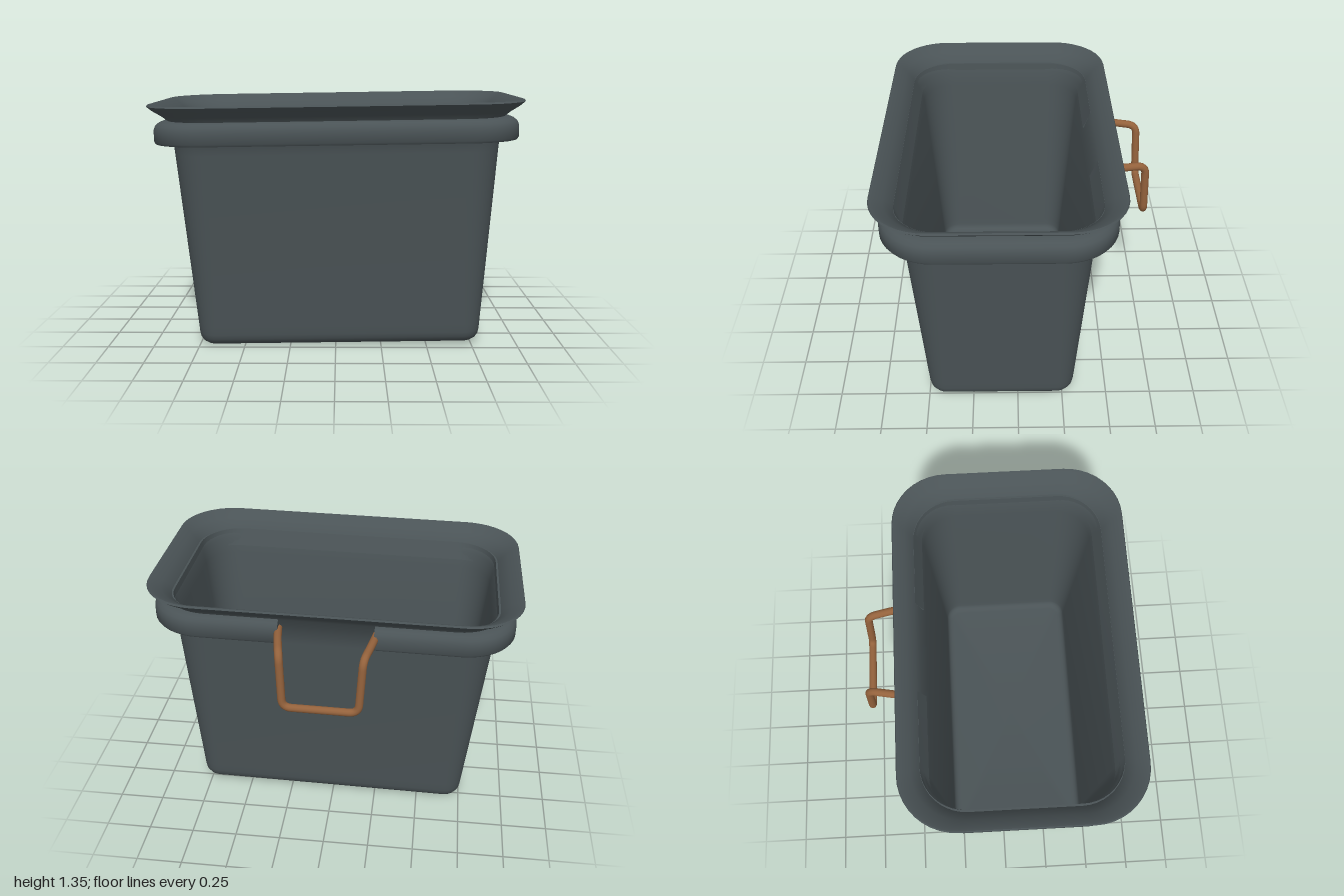
import * as THREE from 'three';
import { toCreasedNormals } from 'three/addons/utils/BufferGeometryUtils.js';

const CENTER_Z = 0.092;
const CORNER_STEPS = 10;
const GAP = [0.26, -0.24]; // x of the opening at the back of the collar

// Rounded rectangle outline, starting and ending at the back
function outline(hx, hz, r, open) {
  const pts = [];
  const signs = [[1, -1], [1, 1], [-1, 1], [-1, -1]];
  if (open) pts.push([GAP[0], -hz]);
  signs.forEach(([sx, sz], c) => {
    for (let i = 0; i <= CORNER_STEPS; i++) {
      const a = (c - 1 + i / CORNER_STEPS) * Math.PI / 2;
      pts.push([sx * (hx - r) + r * Math.cos(a), sz * (hz - r) + r * Math.sin(a)]);
    }
  });
  if (open) pts.push([GAP[1], -hz]);
  return pts;
}

// Skin over rows of [halfWidth, halfDepth, cornerRadius, y].
// ring: the rows form a closed profile swept along an open outline with end caps.
function loft(rows, ring) {
  const pos = [], index = [];
  let n = 0;
  for (const [hx, hz, r, y] of rows) {
    const pts = outline(hx, hz, r, ring);
    n = pts.length;
    for (const [x, z] of pts) pos.push(x, y, z + CENTER_Z);
  }
  const m = rows.length;
  for (let i = 0; i < (ring ? m : m - 1); i++) {
    const k = (i + 1) % m;
    for (let j = 0; j < (ring ? n - 1 : n); j++) {
      const l = (j + 1) % n;
      const a = i * n + j, b = k * n + j, c = i * n + l, d = k * n + l;
      index.push(a, b, c, c, b, d);
    }
  }
  if (ring) {
    const section = rows.map(([, hz, , y]) => new THREE.Vector2(hz, y));
    for (const [a, b, c] of THREE.ShapeUtils.triangulateShape(section, [])) {
      index.push(a * n, b * n, c * n);
      index.push(c * n + n - 1, b * n + n - 1, a * n + n - 1);
    }
  }
  const g = new THREE.BufferGeometry();
  g.setAttribute('position', new THREE.Float32BufferAttribute(pos, 3));
  g.setIndex(index);
  return toCreasedNormals(g, 0.65);
}

// Quarter-round rows between a floor and a wall
function fillet(hx, hz, r, y, size) {
  const rows = [];
  for (let i = 0; i <= 4; i++) {
    const a = i / 4 * Math.PI / 2;
    const inset = size * (1 - Math.sin(a));
    rows.push([hx - inset, hz - inset, r - inset, y + size * (1 - Math.cos(a))]);
  }
  return rows;
}

// Wire path with rounded bends
function bentPath(points, bend) {
  const path = new THREE.CurvePath();
  const v = points.map((p) => new THREE.Vector3(...p));
  let from = v[0];
  for (let i = 1; i < v.length - 1; i++) {
    const before = v[i].clone().add(v[i - 1].clone().sub(v[i]).setLength(bend));
    const after = v[i].clone().add(v[i + 1].clone().sub(v[i]).setLength(bend));
    path.add(new THREE.LineCurve3(from, before));
    path.add(new THREE.QuadraticBezierCurve3(before, v[i], after));
    from = after;
  }
  path.add(new THREE.LineCurve3(from, v[v.length - 1]));
  return path;
}

export function createModel() {
  const model = new THREE.Group();
  model.name = 'bucket';
  const grey = new THREE.MeshStandardMaterial({ color: 0x4a5356, side: THREE.DoubleSide });
  grey.name = 'slate grey plastic';
  const copper = new THREE.MeshStandardMaterial({ color: 0x94623c });
  copper.name = 'copper wire';

  const add = (name, geometry, material) => {
    const mesh = new THREE.Mesh(geometry, material);
    mesh.name = name;
    model.add(mesh);
  };

  // Tapered tub: outside from floor to rim, then inside back down
  add('tub', loft([
    [0, 0, 0, 0],
    [0.69, 0.32, 0.03, 0],
    ...fillet(0.776, 0.406, 0.1, 0, 0.065),
    [0.78, 0.41, 0.105, 0.11],
    [0.868, 0.483, 0.19, 1.06],
    [0.876, 0.492, 0.2, 1.14],
    [0.882, 0.525, 0.23, 1.19],
    [0.893, 0.54, 0.24, 1.235],
    [0.93, 0.567, 0.26, 1.265],
    [0.975, 0.607, 0.285, 1.295],
    [1.0, 0.632, 0.3, 1.318],
    [0.995, 0.627, 0.297, 1.327],
    [0.98, 0.612, 0.285, 1.322],
    [0.935, 0.565, 0.26, 1.29],
    [0.89, 0.525, 0.24, 1.25],
    [0.867, 0.5, 0.22, 1.19],
    [0.856, 0.472, 0.18, 1.1],
    [0.766, 0.396, 0.1, 0.1],
    ...fillet(0.762, 0.392, 0.09, 0.02, 0.04).reverse(),
    [0, 0, 0, 0.02],
  ], false), grey);

  // Collar under the rim, open at the back for the handle
  add('collar', loft([
    [0.865, 0.48, 0.19, 1.145],
    [0.935, 0.555, 0.25, 1.145],
    [0.94, 0.56, 0.255, 1.12],
    [0.965, 0.585, 0.275, 1.12],
    [0.972, 0.593, 0.28, 1.132],
    [0.972, 0.593, 0.28, 1.19],
    [0.963, 0.585, 0.275, 1.215],
    [0.945, 0.57, 0.265, 1.23],
    [0.915, 0.55, 0.25, 1.24],
    [0.875, 0.52, 0.23, 1.24],
  ], true), grey);

  // Bent wire handle hanging from the collar opening
  const right = [[-0.25, 1.18, -0.43], [-0.235, 1.185, -0.54], [-0.205, 1.18, -0.69], [-0.19, 0.87, -0.705]];
  const left = right.map(([x, y, z]) => [0.015 - x, y, z]).reverse();
  add('handle', new THREE.TubeGeometry(bentPath([...right, ...left], 0.05), 120, 0.021, 12), copper);

  // The whole bucket leans slightly sideways
  model.rotation.z = 0.0155;
  model.position.set(0.02, 0.011, 0);
  const root = new THREE.Group();
  root.name = 'bucketWithHandle';
  root.add(model);
  return root;
}
